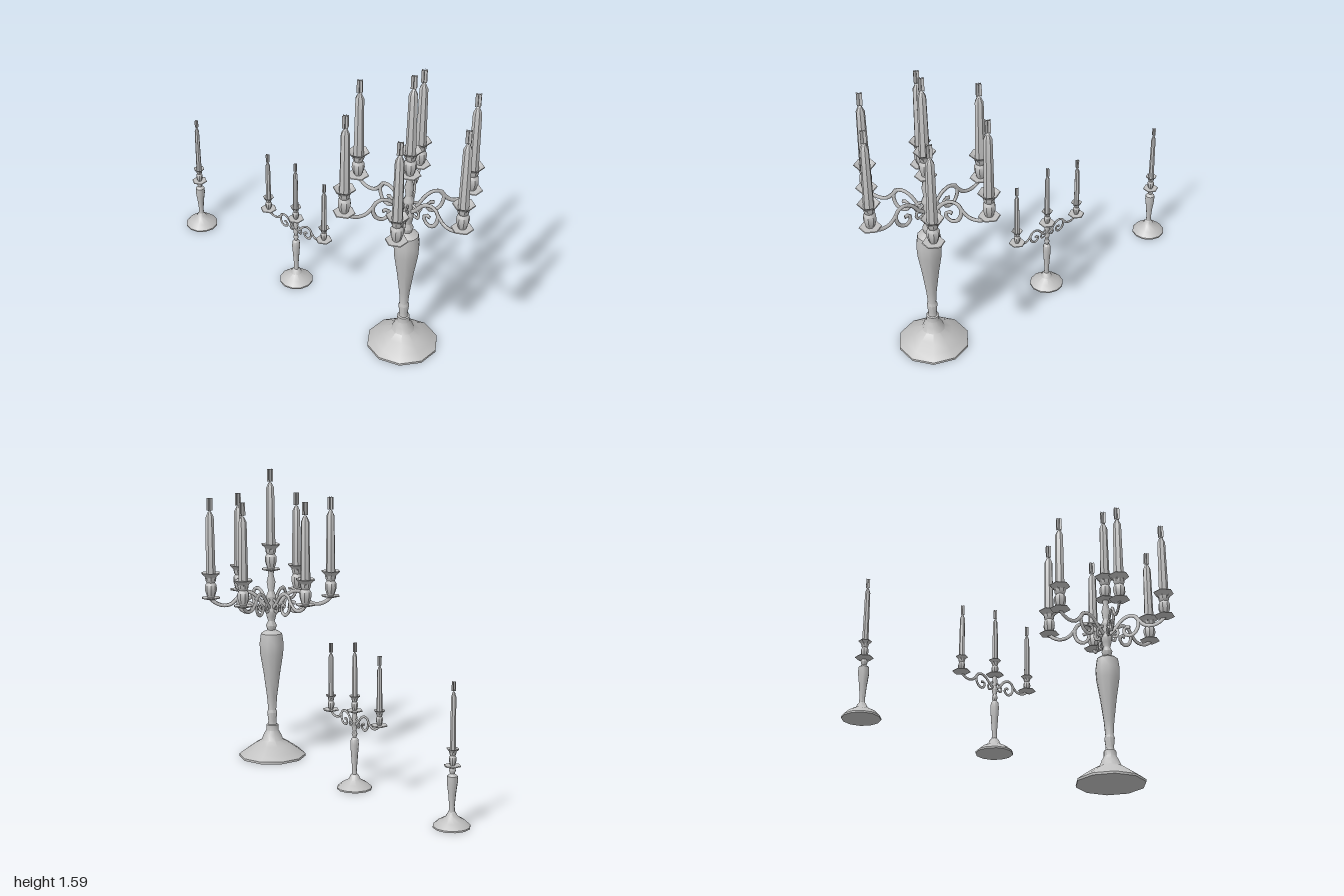
import * as THREE from 'three';
import { toCreasedNormals } from 'three/addons/utils/BufferGeometryUtils.js';

const silver = new THREE.MeshStandardMaterial({ color: 0xc0c0c0, side: THREE.DoubleSide });
silver.name = 'silver grey';

function add(group, name, geometry) {
  const mesh = new THREE.Mesh(geometry, silver);
  mesh.name = name;
  group.add(mesh);
  return mesh;
}

// Turned part from [radius, height] pairs, listed from bottom to top
function turned(group, name, profile, sides, crease = 0.75) {
  const points = profile.map(([r, y]) => new THREE.Vector2(r, y));
  return add(group, name, toCreasedNormals(new THREE.LatheGeometry(points, sides), crease));
}

// Bent wire in the xy plane, flattened sideways
function wire(group, name, points, radius) {
  const curve = new THREE.CatmullRomCurve3(points.map(([x, y]) => new THREE.Vector3(x, y, 0)));
  const mesh = add(group, name, new THREE.TubeGeometry(curve, points.length * 2, radius, 5, false));
  mesh.scale.z = 0.65;
}

// Saucer, vase cup, flared dish, candle and crossed flame cards; y = 0 at the saucer
function candleHolder({ saucer, dish, dishY, candleR, candleH, flameH, flameW }) {
  const g = new THREE.Group();
  g.name = 'candleHolder';
  const d = dish, h = dishY;
  turned(g, 'saucer', [[0, -0.012], [saucer * 0.3, -0.01], [saucer, 0], [saucer * 0.95, 0.004], [0, 0.002]], 6);
  turned(g, 'cup', [[d * 0.3, 0], [d * 0.42, h * 0.1], [d * 0.58, h * 0.32], [d * 0.56, h * 0.5],
    [d * 0.4, h * 0.6], [d * 0.5, h * 0.68], [d * 0.55, h * 0.8]], 8);
  turned(g, 'dish', [[d * 0.5, h * 0.76], [d * 0.62, h * 0.84], [d, h * 0.97], [d * 0.97, h],
    [d * 0.5, h * 0.86], [0, h * 0.84]], 6);
  turned(g, 'candle', [[candleR, h * 0.84], [candleR * 0.82, h + candleH * 0.9],
    [candleR * 0.35, h + candleH * 0.98], [0, h + candleH]], 7);
  for (let i = 0; i < 3; i++) {
    const card = add(g, 'flame', new THREE.PlaneGeometry(flameW, flameH));
    card.position.y = h + candleH + flameH / 2;
    card.rotation.y = i * Math.PI / 3;
  }
  return g;
}

// Scrolled arm with a holder at its end; coordinates relative to the saucer height
function arm(scale, holder) {
  const g = new THREE.Group();
  g.name = 'arm';
  const s = (pts) => pts.map(([x, y]) => [x * scale, y * scale]);
  const r = 0.011 * scale;
  wire(g, 'armScroll', s([[0.015, -0.06], [0.05, -0.03], [0.09, 0.015], [0.135, 0.033], [0.175, 0.015],
    [0.18, -0.03], [0.16, -0.07], [0.125, -0.082], [0.1, -0.06], [0.108, -0.03], [0.133, -0.035]]), r);
  wire(g, 'armBranch', s([[0.165, 0.022], [0.19, -0.01], [0.22, -0.036], [0.265, -0.042],
    [0.305, -0.026], [0.328, -0.005]]), r);
  wire(g, 'armCurl', s([[0.015, -0.01], [0.045, -0.022], [0.066, -0.05], [0.055, -0.078],
    [0.034, -0.07]]), r * 0.8);
  const top = candleHolder(holder);
  top.position.x = 0.327 * scale;
  g.add(top);
  return g;
}

function candlestick({ name, x, foot, stem, sides, topY, holder, arms = 0, armY = 0, armScale = 1 }) {
  const g = new THREE.Group();
  g.name = name;
  g.position.x = x;
  turned(g, 'foot', foot, sides);
  turned(g, 'stem', stem, 10);
  const top = candleHolder(holder);
  top.position.y = topY;
  g.add(top);
  for (let i = 0; i < arms; i++) {
    const a = arm(armScale, holder);
    a.position.y = armY;
    a.rotation.y = i * Math.PI * 2 / arms;
    g.add(a);
  }
  return g;
}

export function createModel() {
  const model = new THREE.Group();
  model.name = 'candleholders';

  // Tall candelabrum with six arms
  model.add(candlestick({
    name: 'largeCandelabrum', x: 0.61, sides: 10,
    foot: [[0, 0], [0.185, 0], [0.185, 0.012], [0.15, 0.038], [0.1, 0.072], [0.06, 0.095], [0.048, 0.125],
      [0.034, 0.15], [0.033, 0.18], [0.02, 0.185]],
    stem: [[0.025, 0.18], [0.022, 0.2], [0.028, 0.25], [0.022, 0.265], [0.028, 0.34], [0.045, 0.47],
      [0.063, 0.58], [0.066, 0.64], [0.058, 0.695], [0.045, 0.705], [0.022, 0.715], [0.03, 0.74],
      [0.018, 0.765], [0.026, 0.79], [0.03, 0.82], [0.02, 0.85], [0.028, 0.9], [0.016, 0.93],
      [0.024, 0.98], [0.014, 1.02], [0.02, 1.055]],
    topY: 1.05, arms: 6, armY: 0.897,
    holder: { saucer: 0.056, dish: 0.056, dishY: 0.14, candleR: 0.027, candleH: 0.335, flameH: 0.068, flameW: 0.032 }
  }));

  // Three-light candelabrum
  model.add(candlestick({
    name: 'mediumCandelabrum', x: -0.15, sides: 12,
    foot: [[0, 0], [0.091, 0], [0.091, 0.008], [0.065, 0.03], [0.03, 0.05], [0.022, 0.07], [0.013, 0.078]],
    stem: [[0.014, 0.075], [0.012, 0.1], [0.018, 0.18], [0.022, 0.235], [0.019, 0.262], [0.009, 0.272],
      [0.015, 0.29], [0.009, 0.305], [0.015, 0.33], [0.01, 0.35], [0.014, 0.375], [0.009, 0.41]],
    topY: 0.41, arms: 2, armY: 0.375, armScale: 0.625,
    holder: { saucer: 0.045, dish: 0.03, dishY: 0.08, candleR: 0.015, candleH: 0.225, flameH: 0.048, flameW: 0.02 }
  }));

  // Single candlestick
  model.add(candlestick({
    name: 'smallCandlestick', x: -0.91, sides: 12,
    foot: [[0, 0], [0.09, 0], [0.09, 0.008], [0.065, 0.032], [0.03, 0.052], [0.02, 0.07], [0.013, 0.08]],
    stem: [[0.015, 0.075], [0.013, 0.1], [0.018, 0.16], [0.026, 0.22], [0.025, 0.25], [0.011, 0.262],
      [0.016, 0.277], [0.011, 0.298]],
    topY: 0.298,
    holder: { saucer: 0.043, dish: 0.031, dishY: 0.085, candleR: 0.015, candleH: 0.275, flameH: 0.044, flameW: 0.02 }
  }));

  return model;
}
